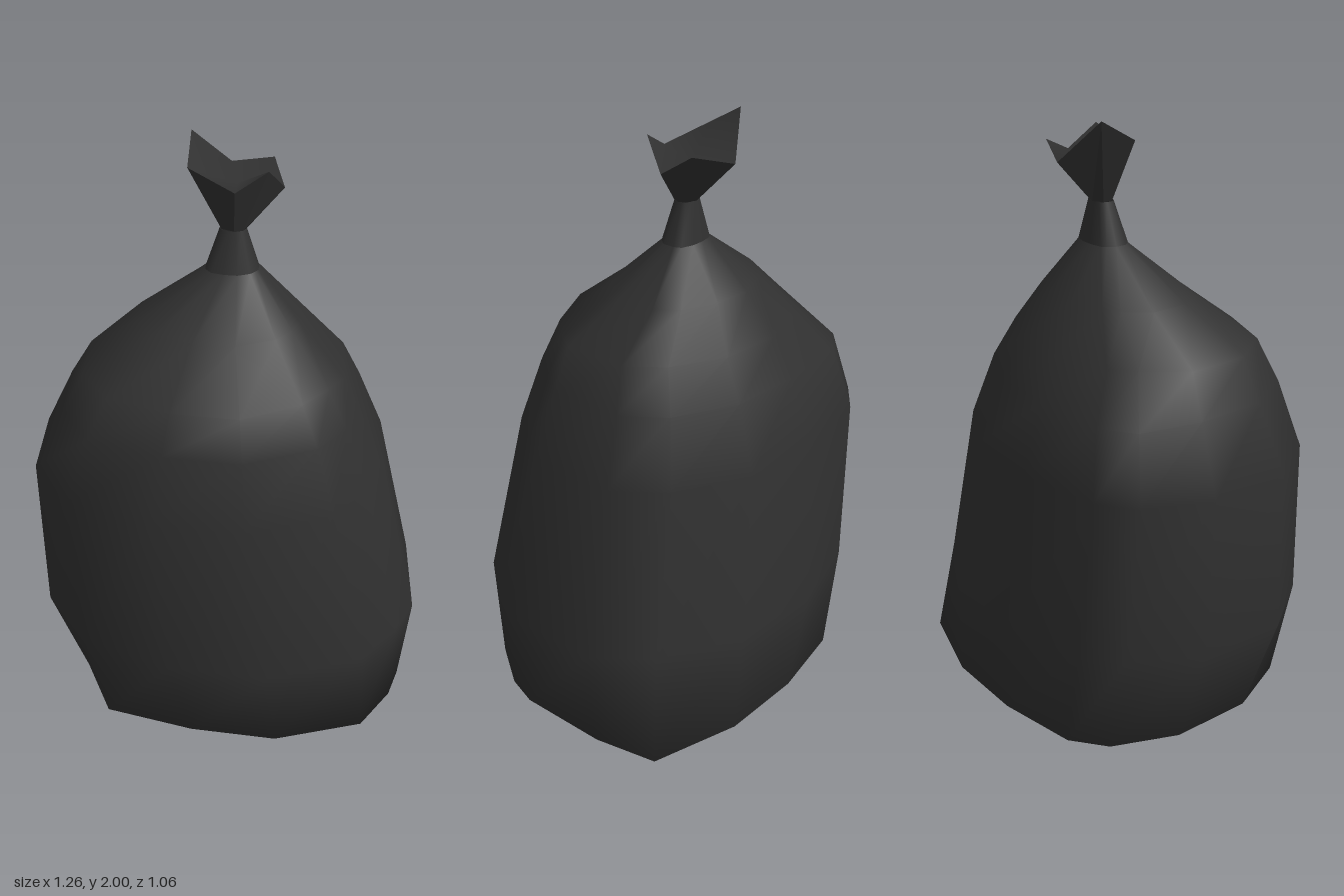
import * as THREE from 'three';

// Irregular plan outline of the sack, scaled to the range -1..1
const outline = [
  [1, -0.31], [0.98, 0.32], [0.87, 0.52], [0.67, 0.79], [0.19, 1], [-0.32, 0.91], [-0.79, 0.68],
  [-1, 0.26], [-0.98, -0.32], [-0.79, -0.74], [-0.59, -0.91], [-0.1, -1], [0.41, -0.95], [0.89, -0.71],
];

// Fits the outline into the limits of one height; the bulges swell or flatten
// the four diagonal corners: front left, back left, back right, front right
function ring({ y, x: [x0, x1], z: [z0, z1], bulge = [0, 0, 0, 0] }) {
  return outline.map(([px, pz]) => {
    const corner = px > 0 ? (pz > 0 ? 0 : 1) : (pz > 0 ? 3 : 2);
    const k = 1 + bulge[corner] * Math.max(0, Math.abs(px * pz) - 0.3) / 0.3;
    return [(x0 + x1 + px * k * (x1 - x0)) / 2, y, (z0 + z1 + pz * k * (z1 - z0)) / 2];
  });
}

function surface(points, index) {
  const geometry = new THREE.BufferGeometry();
  geometry.setAttribute('position', new THREE.Float32BufferAttribute(points.flat(), 3));
  geometry.setIndex(index);
  geometry.computeVertexNormals();
  return geometry;
}

// Skins a stack of rings, with an optional flat base
function loft(rings, base = false) {
  const n = rings[0].length, index = [];
  for (let r = 0; r < rings.length - 1; r++) {
    for (let i = 0; i < n; i++) {
      const a = r * n + i, b = r * n + (i + 1) % n;
      index.push(a, a + n, b, b, a + n, b + n);
    }
  }
  if (base) for (let i = 1; i < n - 1; i++) index.push(0, i, i + 1);
  return surface(rings.flat(), index);
}

// Closes a rim with triangles around a middle point
function fan(rim, middle) {
  const n = rim.length;
  return surface([...rim, middle], rim.flatMap((_, i) => [i, n, (i + 1) % n]));
}

export function createModel() {
  const group = new THREE.Group();
  group.name = 'tiedSack';
  const plastic = new THREE.MeshStandardMaterial({ color: 0x303030, side: THREE.DoubleSide });
  plastic.name = 'blackPlastic';

  function add(name, geometry) {
    const mesh = new THREE.Mesh(geometry, plastic);
    mesh.name = name;
    group.add(mesh);
  }

  // Sagging body, from the base to the shoulder
  const shoulder = { y: 1.6, x: [-0.08, 0.085], z: [-0.12, 0] };
  const body = [
    { y: 0, x: [-0.3, 0.26], z: [-0.31, 0.2], bulge: [0.1, 0, 0, 0.05] },
    { y: 0.085, x: [-0.51, 0.6], z: [-0.5, 0.46], bulge: [0.1, 0.05, 0.02, 0.08] },
    { y: 0.43, x: [-0.62, 0.63], z: [-0.53, 0.53], bulge: [0.03, -0.09, -0.04, -0.02] },
    { y: 0.97, x: [-0.63, 0.505], z: [-0.48, 0.468], bulge: [0, -0.09, 0.02, 0] },
    { y: 1.18, x: [-0.53, 0.42], z: [-0.4, 0.4], bulge: [0, -0.08, 0.1, 0.03] },
    { y: 1.31, x: [-0.46, 0.36], z: [-0.335, 0.355], bulge: [-0.04, -0.1, -0.08, 0] },
    { y: 1.45, x: [-0.29, 0.22], z: [-0.25, 0.17], bulge: [0, -0.08, -0.1, 0] },
    shoulder,
  ];
  add('sackBody', loft(body.map(ring), true));

  // Gathered neck
  const knot = { y: 1.73, x: [-0.035, 0.045], z: [-0.1, -0.035] };
  add('neck', loft([ring(shoulder), ring(knot)]));

  // Flared, jagged mouth above the tie, with faceted folds
  const rim = [
    [0.16, 1.85, -0.09], [0.11, 1.94, 0], [0.01, 1.88, 0.02], [-0.13, 1.93, -0.05],
    [-0.12, 2, -0.17], [0, 1.87, -0.24], [0.13, 1.91, -0.18],
  ];
  const throat = rim.map(([x, , z]) => [0.005 + x * 0.27, 1.73, -0.068 + (z + 0.1) * 0.26]);
  const mouth = loft([throat, rim]).toNonIndexed();
  mouth.computeVertexNormals();
  add('flaredMouth', mouth);

  // Crumpled plastic filling the mouth
  add('mouthFold', fan(rim, [0.02, 1.86, -0.1]));

  return group;
}
